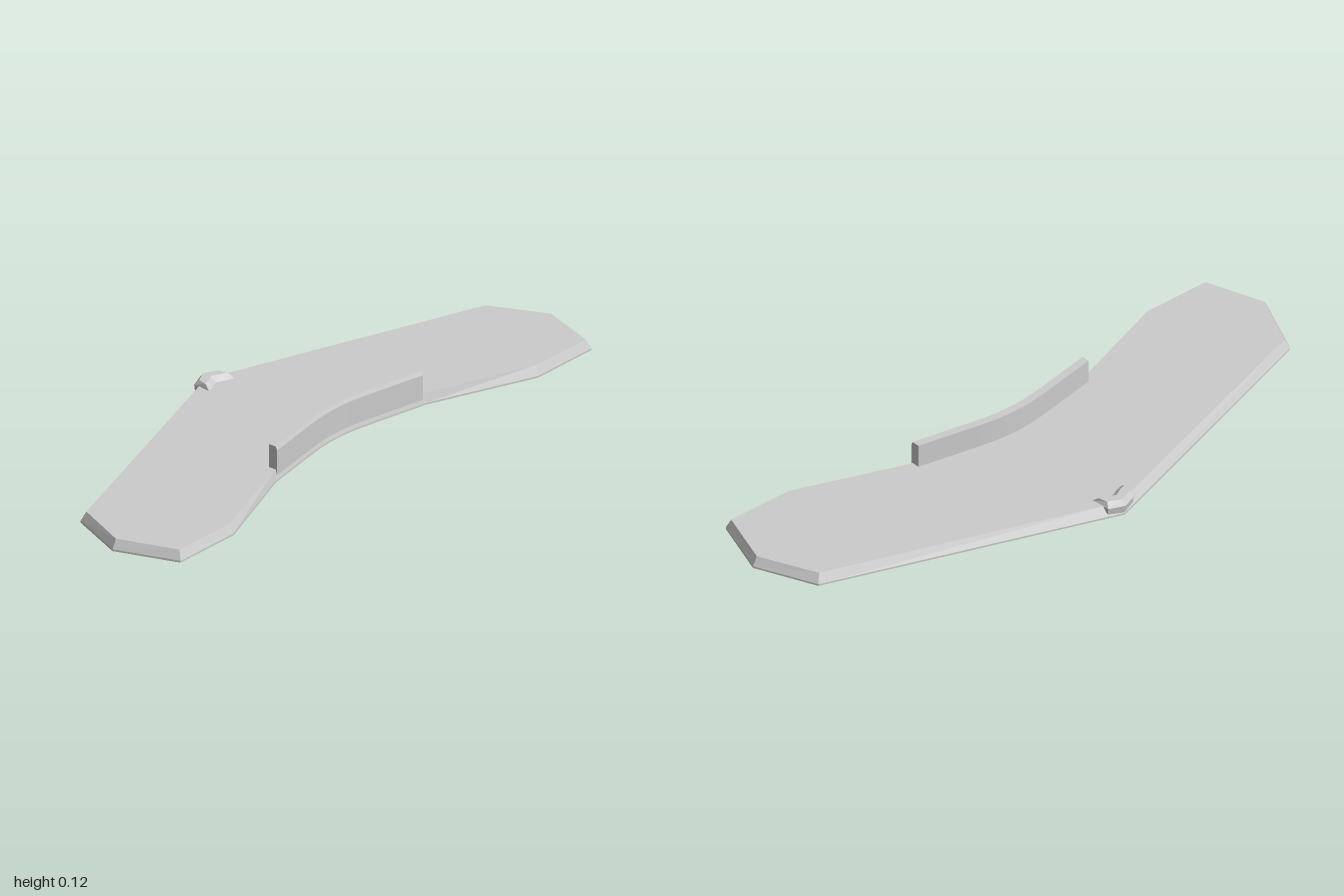
import * as THREE from 'three';

const material = new THREE.MeshStandardMaterial({ color: 0xcccccc, flatShading: true });

// Mirror a half outline (back centre -> +x side -> front centre) into a closed loop.
function mirror(half) {
  const other = half.filter(([x]) => x > 0).reverse().map(([x, z]) => [-x, z]);
  return [...half, ...other];
}

// Stack plan outlines [y, half] upwards, joined by side faces and closed by caps.
function stack(name, layers) {
  const loops = layers.map(([y, half]) => mirror(half).map(([x, z]) => [x, y, z]));
  const n = loops[0].length;
  const last = loops.length - 1;
  const index = [];
  for (let k = 0; k < last; k++) {
    for (let i = 0; i < n; i++) {
      const a = k * n + i, a2 = k * n + (i + 1) % n;
      index.push(a, a + n, a2, a2, a + n, a2 + n);
    }
  }
  const cap = (loop) => THREE.ShapeUtils.triangulateShape(loop.map(([x, , z]) => new THREE.Vector2(x, z)), []);
  for (const [a, b, c] of cap(loops[0])) index.push(a, b, c);
  for (const [a, b, c] of cap(loops[last])) index.push(last * n + a, last * n + c, last * n + b);

  const geometry = new THREE.BufferGeometry();
  geometry.setAttribute('position', new THREE.Float32BufferAttribute(loops.flat(2), 3));
  geometry.setIndex(index);
  const flat = geometry.toNonIndexed();
  flat.computeVertexNormals();
  const mesh = new THREE.Mesh(flat, material);
  mesh.name = name;
  return mesh;
}

// Concave front edge: a rounded bend in the middle running into straight arms.
const bendZ = (x) => (x < 0.12 ? 0.79 * x * x : 0.0114 + 0.19 * (x - 0.12));
const bendXs = [0, 0.03, 0.06, 0.09, 0.12];
const bend = (xs, z) => xs.map((x) => [x, z + bendZ(x)]);

// Swept plate: wide rim, slightly inset top and strongly bevelled underside
function plate() {
  const arc = (z, endX) => bend([...bendXs, endX], z).reverse();
  const bottom = [[0, -0.27], [0.86, 0.0], [0.935, 0.155], [0.885, 0.3], [0.7, 0.3], ...arc(0.118, 0.35)];
  const rim = [[0, -0.355], [0.915, -0.04], [1.0, 0.155], [0.93, 0.357], [0.69, 0.357], ...arc(0.17, 0.34)];
  const top = [[0, -0.335], [0.903, -0.028], [0.985, 0.155], [0.92, 0.344], [0.695, 0.344], ...arc(0.162, 0.34)];
  return stack('plate', [[0.003, bottom], [0.012, rim], [0.018, rim], [0.047, top]]);
}

// Upright lip following the concave front edge, its front top edge softened
function lip() {
  const xs = [...bendXs, 0.33];
  const outline = (front) => [...bend(xs, 0.136), ...bend(xs, front).reverse()];
  return stack('frontLip', [[0.03, outline(0.167)], [0.11, outline(0.167)], [0.122, outline(0.162)]]);
}

// Small chevron clip over the rear point
function clip() {
  const outline = (back, front, w) => [
    [0, back], [w * 0.85, back + 0.02], [w, front + 0.01], [w * 0.55, front + 0.003], [0, front - 0.012],
  ];
  return stack('rearClip', [
    [0.02, outline(-0.354, -0.282, 0.058)],
    [0.045, outline(-0.358, -0.282, 0.058)],
    [0.062, outline(-0.345, -0.305, 0.05)],
  ]);
}

export function createModel() {
  const group = new THREE.Group();
  group.name = 'sweptPlate';
  group.add(plate(), lip(), clip());
  return group;
}
